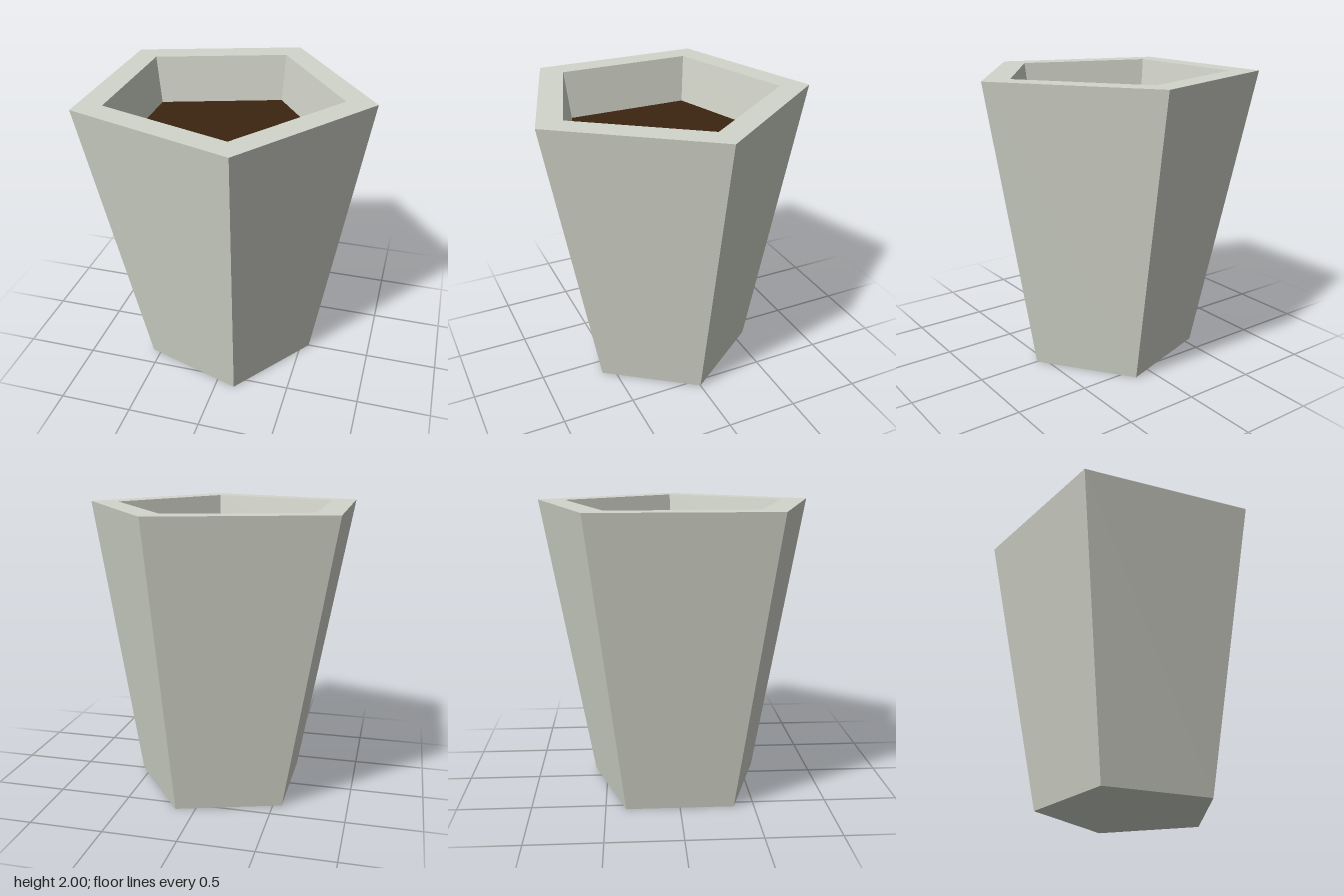
import * as THREE from 'three';

const SIDES = 5;

// Joins five-sided rings [radius, height, x offset] into a flat-faced surface
function pentagonSurface(rings) {
  const point = ([r, y, cx], k) => {
    const a = (k * Math.PI * 2) / SIDES;
    return [cx + r * Math.cos(a), y, r * Math.sin(a)];
  };
  const positions = [];
  for (let i = 0; i < rings.length - 1; i++) {
    const [lower, upper] = [rings[i], rings[i + 1]];
    for (let k = 0; k < SIDES; k++) {
      const a = point(lower, k), b = point(upper, k);
      const c = point(upper, k + 1), d = point(lower, k + 1);
      if (upper[0] > 0) positions.push(...a, ...b, ...c);
      if (lower[0] > 0) positions.push(...a, ...c, ...d);
    }
  }
  const geometry = new THREE.BufferGeometry();
  geometry.setAttribute('position', new THREE.Float32BufferAttribute(positions, 3));
  geometry.computeVertexNormals();
  return geometry;
}

export function createModel() {
  const stone = new THREE.MeshStandardMaterial({ color: 0xd2d5ca, flatShading: true });
  stone.name = 'pale stone';
  const earth = new THREE.MeshStandardMaterial({ color: 0x3b2510, flatShading: true });
  earth.name = 'dark soil';

  const group = new THREE.Group();
  group.name = 'planter';

  // Pot: base, tapered outer walls, flat rim and inner walls down to the soil
  const pot = new THREE.Mesh(pentagonSurface([
    [0, 0, -0.059],
    [0.619, 0, -0.059],
    [0.998, 2, -0.096],
    [0.796, 2, -0.096],
    [0.746, 1.67, -0.095],
  ]), stone);
  pot.name = 'pot';

  // Soil: flat pentagon filling the opening
  const soil = new THREE.Mesh(pentagonSurface([
    [0.746, 1.67, -0.095],
    [0, 1.67, -0.095],
  ]), earth);
  soil.name = 'soil';

  group.add(pot, soil);
  return group;
}
